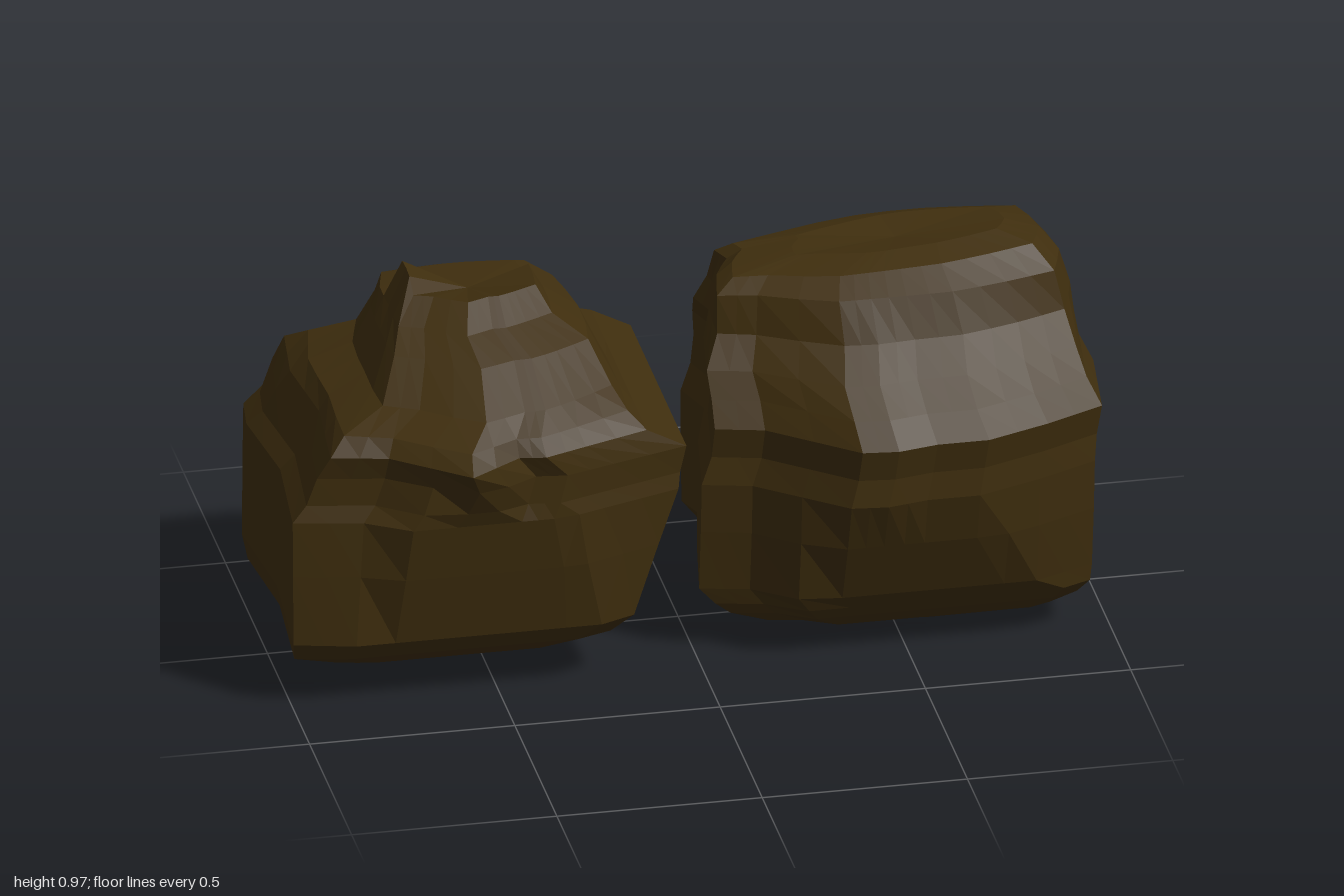
import * as THREE from 'three';
import { mergeVertices } from 'three/addons/utils/BufferGeometryUtils.js';

const stone = new THREE.MeshStandardMaterial({ color: 0x3f2e0e });
stone.flatShading = true;

// Stretch a plan outline to the -1..1 square and add a midpoint to every edge
function normalisePlan(plan) {
  const box = new THREE.Box2().setFromPoints(plan.map(([x, z]) => new THREE.Vector2(x, z)));
  const c = box.getCenter(new THREE.Vector2());
  const s = box.getSize(new THREE.Vector2());
  const unit = plan.map(([x, z]) => new THREE.Vector2((x - c.x) / s.x * 2, (z - c.y) / s.y * 2));
  return unit.flatMap((p, i) => [p, p.clone().lerp(unit[(i + 1) % unit.length], 0.5)]);
}

// Loft a boulder through levels of [y, xMin, xMax, zMin, zMax, cut, roundness];
// a cut below 1 trims the front and back peaks of the plan flat, keeping full corners.
// chisel(v, q) moves a vertex v by its place q in the unit plan.
function makeRock(name, plan, levels, crownY, chisel) {
  const outline = normalisePlan(plan);
  const n = outline.length;
  const pos = [];
  const index = [];
  for (const [y, x0, x1, z0, z1, cut, round] of levels) {
    for (const p of outline) {
      const q = new THREE.Vector2(p.x, THREE.MathUtils.clamp(p.y / cut, -1, 1));
      q.lerp(q.clone().normalize(), round);
      const v = new THREE.Vector3(
        (x0 + x1) / 2 + q.x * (x1 - x0) / 2, y, (z0 + z1) / 2 + q.y * (z1 - z0) / 2);
      chisel(v, q);
      pos.push(v.x, v.y, v.z);
    }
  }
  for (let i = 0; i < levels.length - 1; i++) {
    for (let j = 0; j < n; j++) {
      const k = (j + 1) % n;
      const a = i * n + j, b = i * n + k, c = a + n, d = b + n;
      index.push(a, c, d, a, d, b);
    }
  }
  // Close the underside and the crown with fans
  const first = levels[0], last = levels[levels.length - 1];
  const base = pos.length / 3;
  pos.push((first[1] + first[2]) / 2, first[0], (first[3] + first[4]) / 2);
  pos.push((last[1] + last[2]) / 2, crownY, (last[3] + last[4]) / 2);
  const top = (levels.length - 1) * n;
  for (let j = 0; j < n; j++) {
    const k = (j + 1) % n;
    index.push(base, j, k, base + 1, top + k, top + j);
  }
  let geo = new THREE.BufferGeometry();
  geo.setAttribute('position', new THREE.Float32BufferAttribute(pos, 3));
  geo.setIndex(index);
  geo = mergeVertices(geo).toNonIndexed();
  geo.computeVertexNormals();
  const mesh = new THREE.Mesh(geo, stone);
  mesh.name = name;
  return mesh;
}

export function createModel() {
  const group = new THREE.Group();
  group.name = 'boulders';

  // Squarish boulder with an overhanging lip, a stepped crown and a ledge on its inner side
  group.add(makeRock('steppedBoulder',
    [[-0.97, -0.37], [-0.6, -0.365], [-0.3, -0.36], [-0.04, -0.36], [-0.04, -0.02], [-0.04, 0.31],
      [-0.24, 0.37], [-0.37, 0.41], [-0.45, 0.4], [-0.61, 0.485], [-0.83, 0.34], [-1, 0.31],
      [-0.97, 0.05], [-1, -0.18]],
    [[0.015, -0.79, -0.38, -0.18, 0.13, 0.65, 0.1],
      [0.05, -0.87, -0.32, -0.24, 0.2, 0.65, 0],
      [0.115, -0.99, -0.22, -0.33, 0.3, 0.65, 0],
      [0.17, -1, -0.17, -0.36, 0.345, 0.66, 0],
      [0.35, -1, -0.11, -0.365, 0.38, 0.74, 0],
      [0.49, -1, -0.06, -0.37, 0.4, 0.8, 0],
      [0.53, -0.965, -0.055, -0.37, 0.415, 0.86, 0],
      [0.6, -0.94, -0.04, -0.37, 0.45, 0.95, 0],
      [0.66, -0.91, -0.14, -0.36, 0.485, 1, 0],
      [0.7, -0.88, -0.17, -0.32, 0.44, 1, 0.2],
      [0.74, -0.78, -0.19, -0.29, 0.36, 1, 0.4],
      [0.82, -0.73, -0.23, -0.27, 0.23, 1, 0.4],
      [0.865, -0.7, -0.31, -0.26, 0.14, 1, 0.3],
      [0.915, -0.65, -0.34, -0.24, 0.06, 1, 0.3]],
    0.88,
    (v, q) => {
      // Sink the back of the crown and raise a small tip at its side
      if (v.y < 0.9) return;
      if (q.y < -0.4) v.y -= 0.04;
      else if (q.x < -0.7 && q.y < 0.4) v.y += 0.03;
    }));

  // Broad rounded boulder, flat on its outer side
  group.add(makeRock('roundedBoulder',
    [[0.065, -0.28], [0.23, -0.36], [0.47, -0.49], [0.58, -0.49], [0.78, -0.41], [0.97, -0.32],
      [1, 0.05], [0.97, 0.3], [0.82, 0.37], [0.66, 0.43], [0.53, 0.43], [0.43, 0.45], [0.34, 0.44],
      [0.13, 0.27], [0.01, 0.24], [0.05, 0], [0.1, -0.17]],
    [[0.01, 0.26, 0.66, -0.2, 0.13, 0.78, 0],
      [0.04, 0.19, 0.89, -0.24, 0.2, 0.75, 0],
      [0.09, 0.09, 0.95, -0.31, 0.26, 0.75, 0],
      [0.125, 0.05, 0.98, -0.35, 0.285, 0.76, 0],
      [0.17, 0.01, 0.985, -0.39, 0.32, 0.83, 0],
      [0.33, 0.01, 0.985, -0.45, 0.385, 0.91, 0],
      [0.46, 0.01, 0.985, -0.49, 0.44, 1, 0],
      [0.53, 0.035, 0.99, -0.49, 0.435, 1, 0],
      [0.61, 0.04, 1, -0.48, 0.45, 1, 0],
      [0.67, 0.04, 0.97, -0.475, 0.4, 1, 0],
      [0.73, 0.03, 0.96, -0.39, 0.33, 1, 0.1],
      [0.8, 0.055, 0.955, -0.33, 0.25, 1, 0.3],
      [0.895, 0.065, 0.925, -0.23, 0.195, 0.95, 0.15],
      [0.935, 0.11, 0.88, -0.18, 0.13, 0.95, 0.2],
      [0.955, 0.27, 0.8, -0.13, 0.06, 1, 0.4]],
    0.94,
    (v, q) => {
      // Tilt the crown, level the base and draw in the lower back corner
      if (v.y > 0.9) v.y += 0.015 * q.x;
      else if (v.y < 0.02) v.y -= 0.01 * Math.max(0, q.x);
      else if (v.y < 0.6 && q.x > 0) {
        v.x -= 0.2 * (0.6 - v.y) * q.x * THREE.MathUtils.clamp(-q.y * 1.5, 0, 1);
      }
    }));

  return group;
}
